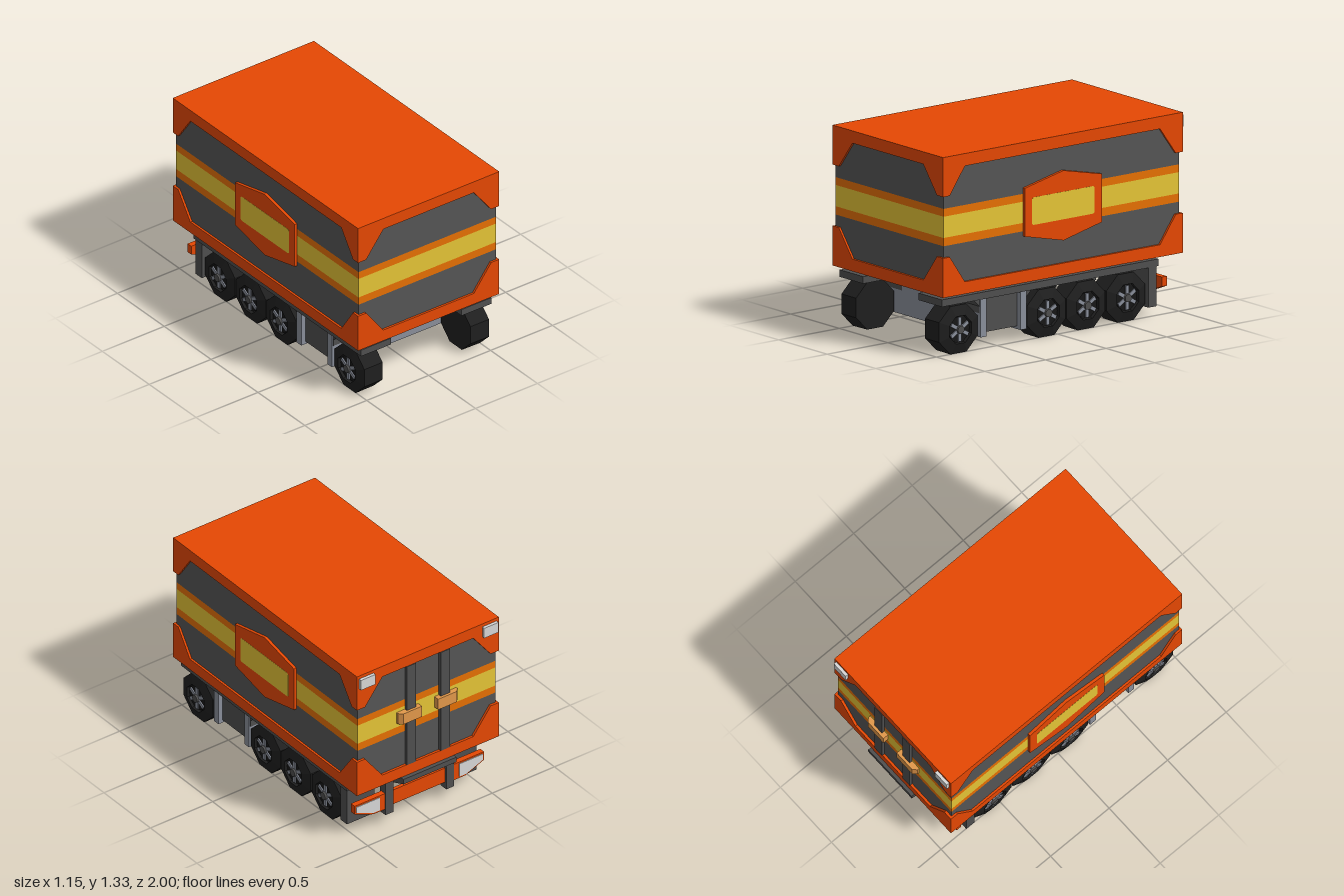
import * as THREE from 'three';

const mat = (name, color) => {
  const m = new THREE.MeshStandardMaterial({ color });
  m.name = name;
  return m;
};

export function createModel() {
  const model = new THREE.Group();
  model.name = 'cargoTrailer';
  const M = {
    orange: mat('frame orange', 0xe64803),
    panel: mat('panel grey', 0x555555),
    amber: mat('stripe amber', 0xe67003),
    yellow: mat('stripe yellow', 0xe5c536),
    chassis: mat('chassis grey', 0x4f4f4f),
    steel: mat('steel blue grey', 0x8a8f9b),
    tyre: mat('tyre black', 0x1f1f1f),
    rim: mat('rim black', 0x171717),
    lamp: mat('lamp white', 0xd8d8d8),
    latch: mat('latch tan', 0xe2984a),
  };

  const add = (name, geometry, material, parent = model) => {
    const mesh = new THREE.Mesh(geometry, material);
    mesh.name = name;
    parent.add(mesh);
    return mesh;
  };
  // Box given by its limits on each axis
  const box = (name, material, x0, x1, y0, y1, z0, z1) => {
    const g = new THREE.BoxGeometry(Math.abs(x1 - x0), y1 - y0, Math.abs(z1 - z0));
    g.translate((x0 + x1) / 2, (y0 + y1) / 2, (z0 + z1) / 2);
    return add(name, g, material);
  };
  const extrude = (pts, depth) => new THREE.ExtrudeGeometry(
    new THREE.Shape(pts.map(([x, y]) => new THREE.Vector2(x, y))), { depth, bevelEnabled: false });
  // Outline in (x, y), extruded from z0 to z1
  const prismZ = (name, material, pts, z0, z1) =>
    add(name, extrude(pts, z1 - z0).translate(0, 0, z0), material);
  // Outline in (z, y), extruded from x0 to x1
  const prismX = (name, material, pts, x0, x1) =>
    add(name, extrude(pts.map(([z, y]) => [-z, y]), x1 - x0).rotateY(Math.PI / 2).translate(x0, 0, 0), material);
  // Outline in (x, z), extruded from y0 to y1
  const prismY = (name, material, pts, y0, y1) =>
    add(name, extrude(pts.map(([x, z]) => [x, -z]), y1 - y0).rotateX(-Math.PI / 2).translate(0, y0, 0), material);
  // Range of a part on the +x or -x side
  const span = (s, a, b) => (s > 0 ? [a, b] : [-b, -a]);

  // Cargo body: stacked coloured bands inside the frame
  [
    ['lowerPanel', M.panel, 0.47, 0.742],
    ['lowerStripe', M.amber, 0.742, 0.797],
    ['middleStripe', M.yellow, 0.797, 0.938],
    ['upperStripe', M.amber, 0.938, 0.99],
    ['upperPanel', M.panel, 0.99, 1.26],
  ].forEach(([n, m, y0, y1]) => box(n, m, -0.555, 0.555, y0, y1, -0.96, 0.985));

  // Frame: roof and floor slabs with cut-off corner plates
  box('roofFrame', M.orange, -0.57, 0.57, 1.253, 1.335, -0.977, 1);
  box('floorFrame', M.orange, -0.57, 0.57, 0.404, 0.485, -0.977, 1);
  for (const [ye, yt] of [[1.253, 1.073], [0.485, 0.667]]) {
    for (const s of [1, -1]) {
      const face = [[0.57 * s, ye], [0.365 * s, ye], [0.505 * s, yt], [0.57 * s, yt]];
      prismZ('frontCornerPlate', M.orange, face, 0.985, 1);
      prismZ('rearCornerPlate', M.orange, face, -0.977, -0.96);
      const [x0, x1] = span(s, 0.555, 0.57);
      prismX('sideCornerPlate', M.orange, [[1, ye], [0.82, ye], [0.945, yt], [1, yt]], x0, x1);
      prismX('sideCornerPlate', M.orange, [[-0.977, ye], [-0.79, ye], [-0.92, yt], [-0.977, yt]], x0, x1);
    }
  }

  // Wheel: eight-sided tyre with sloped wall, dished rim, spokes and hub (axis along local y)
  const tyreGeo = new THREE.LatheGeometry(
    [[0, 0.355], [0.17, 0.355], [0.172, 0.503], [0.098, 0.526], [0.093, 0.505], [0, 0.505]]
      .map(([r, y]) => new THREE.Vector2(r, y)), 8, Math.PI / 8).toNonIndexed();
  tyreGeo.computeVertexNormals();
  const rimGeo = new THREE.CylinderGeometry(0.085, 0.085, 0.006, 16).translate(0, 0.507, 0);
  const hubGeo = new THREE.CylinderGeometry(0.027, 0.03, 0.025, 12).translate(0, 0.52, 0);
  const spokeGeo = new THREE.BoxGeometry(0.056, 0.01, 0.025).translate(0.052, 0.514, 0);
  const makeWheel = (s, z) => {
    const wheel = new THREE.Group();
    wheel.name = 'wheel';
    add('tyre', tyreGeo, M.tyre, wheel);
    add('rim', rimGeo, M.rim, wheel);
    add('hub', hubGeo, M.chassis, wheel);
    for (let i = 0; i < 6; i++) add('spoke', spokeGeo, M.steel, wheel).rotation.y = (i * Math.PI) / 3;
    wheel.rotation.z = (-s * Math.PI) / 2;
    wheel.position.set(0, 0.159, z);
    model.add(wheel);
  };

  for (const s of [1, -1]) {
    // Side badge with a blank rounded plate
    const [b0, b1] = span(s, 0.553, 0.575);
    prismX('sideBadge', M.orange,
      [[0.33, 1.03], [0.01, 1.1], [-0.305, 1.03], [-0.305, 0.71], [0.01, 0.637], [0.33, 0.71]], b0, b1);
    const [p0, p1] = span(s, 0.573, 0.576);
    const c = 0.01;
    prismX('badgePlate', M.yellow, [
      [0.27 - c, 0.96], [-0.245 + c, 0.96], [-0.245, 0.96 - c], [-0.245, 0.777 + c],
      [-0.245 + c, 0.777], [0.27 - c, 0.777], [0.27, 0.777 + c], [0.27, 0.96 - c]], p0, p1);

    // Running gear
    [0.82, 0.095, -0.23, -0.56].forEach((z) => makeWheel(s, z));
    box('fender', M.chassis, 0.285 * s, 0.527 * s, 0.333, 0.38, -0.812, 0.975);
    box('mudFlap', M.chassis, 0.3 * s, 0.52 * s, 0.067, 0.335, -0.802, -0.733);
    box('tankSidePanel', M.chassis, 0.462 * s, 0.478 * s, 0.098, 0.335, 0.31, 0.595);
    const [g0, g1] = span(s, 0.3, 0.5);
    prismX('fenderBrace', M.chassis,
      [[0.697, 0.335], [0.643, 0.281], [0.643, 0.235], [0.61, 0.235], [0.61, 0.335]], g0, g1);
    prismX('fenderBrace', M.chassis,
      [[0.208, 0.335], [0.262, 0.281], [0.262, 0.235], [0.295, 0.235], [0.295, 0.335]], g0, g1);

    // Rear door bars, latches and upper lamps
    box('doorBar', M.chassis, 0.1 * s, 0.172 * s, 0.485, 1.253, -0.982, -0.955);
    prismY('doorLatch', M.latch,
      [[0.065 * s, -0.96], [0.065 * s, -1], [0.215 * s, -1], [0.24 * s, -0.975], [0.24 * s, -0.96]], 0.83, 0.912);
    box('upperLamp', M.lamp, 0.437 * s, 0.552 * s, 1.235, 1.312, -0.998, -0.97);

    // Rear bumper posts and tapered lamp housings
    box('bumperPost', M.chassis, 0.213 * s, 0.276 * s, 0.087, 0.408, -0.89, -0.83);
    prismZ('lampHousing', M.orange,
      [[0.52 * s, 0.253], [0.276 * s, 0.253], [0.276 * s, 0.13], [0.37 * s, 0.13], [0.52 * s, 0.19]], -0.885, -0.845);
    prismZ('bumperLamp', M.lamp,
      [[0.508 * s, 0.242], [0.32 * s, 0.242], [0.32 * s, 0.143], [0.375 * s, 0.143], [0.508 * s, 0.198]], -0.89, -0.884);
  }

  // Underbody cross plates, open between them
  box('frontCrossPlate', M.steel, -0.51, 0.51, 0.077, 0.34, 0.593, 0.642);
  box('rearCrossPlate', M.steel, -0.51, 0.51, 0.077, 0.34, 0.265, 0.315);

  // Rear bumper bar and sloped step
  box('bumperBar', M.orange, -0.28, 0.28, 0.135, 0.245, -0.875, -0.85);
  prismX('rearStep', M.chassis,
    [[-0.86, 0.4], [-1, 0.4], [-1, 0.362], [-0.89, 0.318], [-0.86, 0.318]], -0.213, 0.213);

  return model;
}
